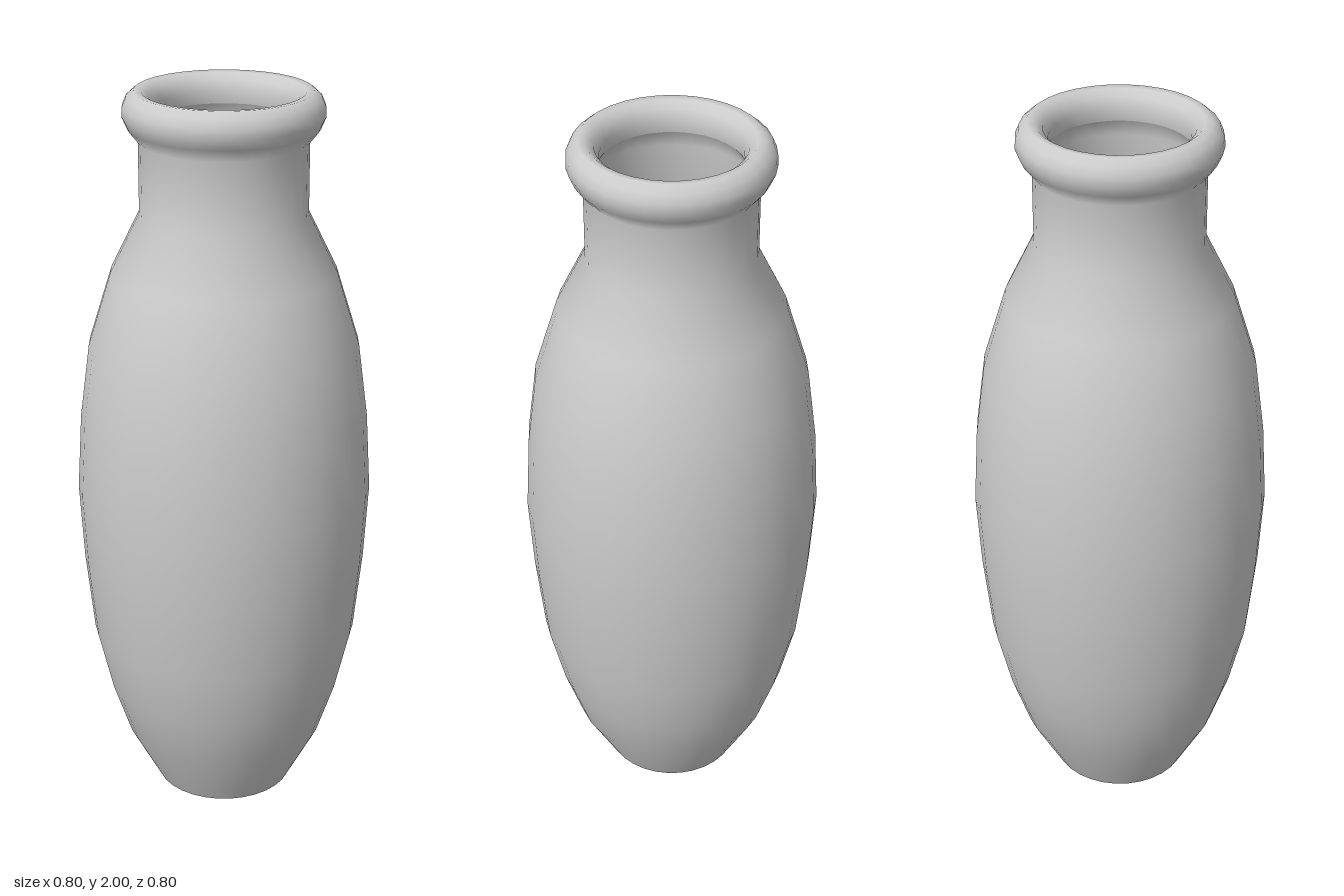
import * as THREE from 'three';

const SIDES = 32;
const material = new THREE.MeshStandardMaterial({ color: 0xcccccc, side: THREE.DoubleSide });

// Revolves a list of [radius, height] pairs around the y axis
function revolve(name, profile) {
  const points = profile.map(([r, y]) => new THREE.Vector2(r, y));
  const mesh = new THREE.Mesh(new THREE.LatheGeometry(points, SIDES), material);
  mesh.name = name;
  return mesh;
}

export function createModel() {
  const group = new THREE.Group();
  group.name = 'vase';

  // Belly from the open foot up to the shoulder, then the straight neck
  const wall = [
    [0.19, 0], [0.275, 0.16], [0.325, 0.31], [0.365, 0.48], [0.388, 0.7], [0.4, 0.91],
    [0.388, 1.12], [0.362, 1.32], [0.3, 1.52], [0.222, 1.68], [0.222, 1.87],
  ];

  // Rolled lip, curling over the top and back into the neck
  const lip = [
    [0.25, 1.905], [0.263, 1.935], [0.262, 1.96], [0.252, 1.983], [0.232, 2],
    [0.212, 1.998], [0.192, 1.982], [0.18, 1.953], [0.185, 1.92],
  ];

  // Thin inner skin running back down to the foot
  const thickness = 0.01;
  const lining = wall.map(([r, y]) => [r - thickness, y]).reverse();

  group.add(revolve('body', [...wall, ...lip]));
  group.add(revolve('innerWall', [lip[lip.length - 1], ...lining]));
  group.add(revolve('footRim', [lining[lining.length - 1], wall[0]]));
  return group;
}
